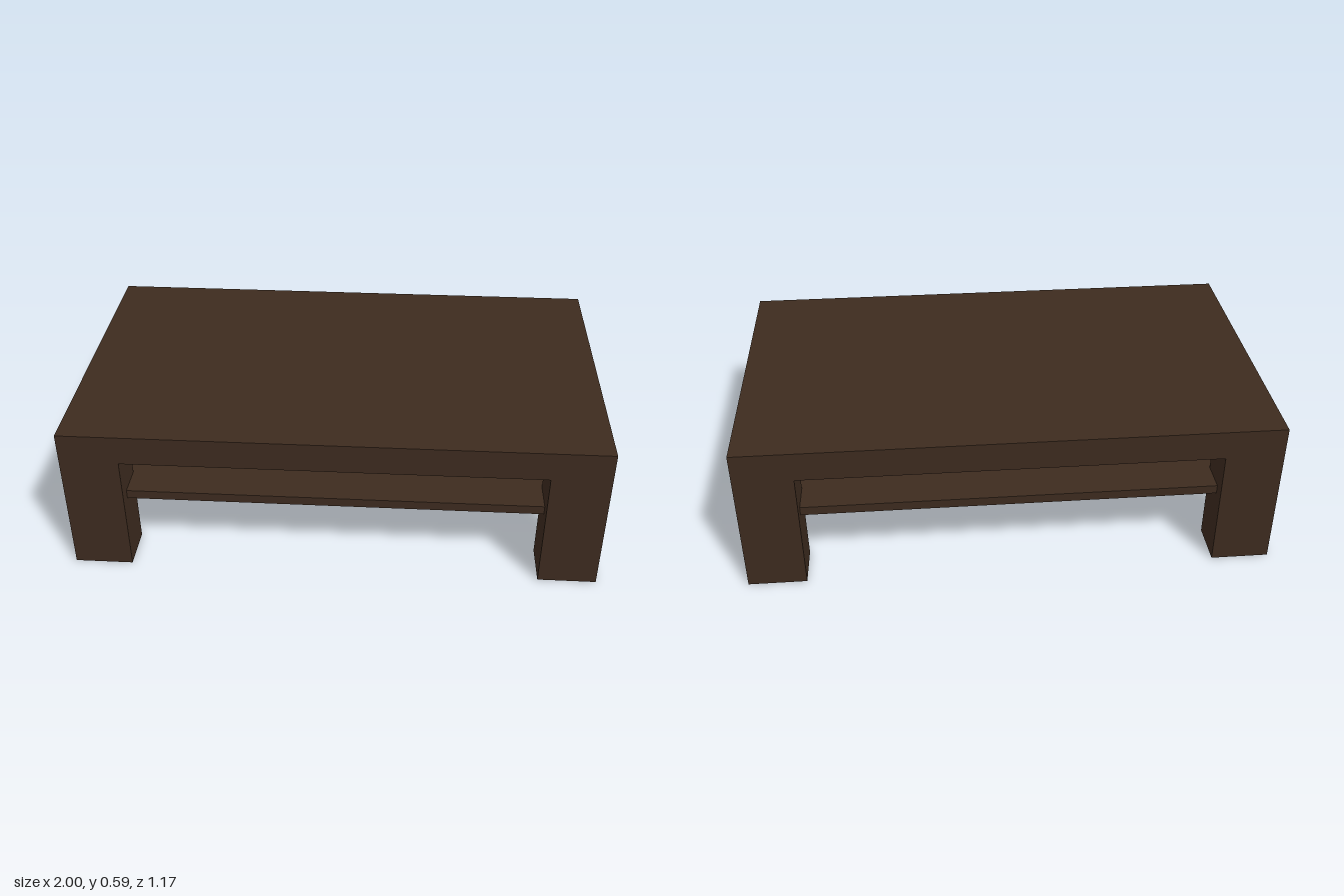
import * as THREE from 'three';

const WIDTH = 2, DEPTH = 1.175, HEIGHT = 0.59;
const TOP_THICKNESS = 0.115;
const LEG_WIDTH = 0.22, LEG_DEPTH = 0.168, LEG_HEIGHT = HEIGHT - TOP_THICKNESS;

export function createModel() {
  const table = new THREE.Group();
  table.name = 'coffeeTable';

  const darkWood = new THREE.MeshStandardMaterial({ color: 0x3d2b1f });
  darkWood.name = 'darkWood';

  // Box standing on height y
  const addBox = (name, w, h, d, x, y, z) => {
    const mesh = new THREE.Mesh(new THREE.BoxGeometry(w, h, d), darkWood);
    mesh.name = name;
    mesh.position.set(x, y + h / 2, z);
    table.add(mesh);
  };

  // Thick solid top
  addBox('tableTop', WIDTH, TOP_THICKNESS, DEPTH, 0, LEG_HEIGHT, 0);

  // Lower shelf, let into the legs
  addBox('shelf', WIDTH - 0.1, 0.035, DEPTH - 0.1, 0, 0.279, 0);

  // Four legs flush with the corners
  for (const [side, sx] of [['Left', 1], ['Right', -1]]) {
    for (const [end, sz] of [['front', 1], ['back', -1]]) {
      addBox(`${end}${side}Leg`, LEG_WIDTH, LEG_HEIGHT, LEG_DEPTH,
        sx * (WIDTH - LEG_WIDTH) / 2, 0, sz * (DEPTH - LEG_DEPTH) / 2);
    }
  }

  return table;
}
